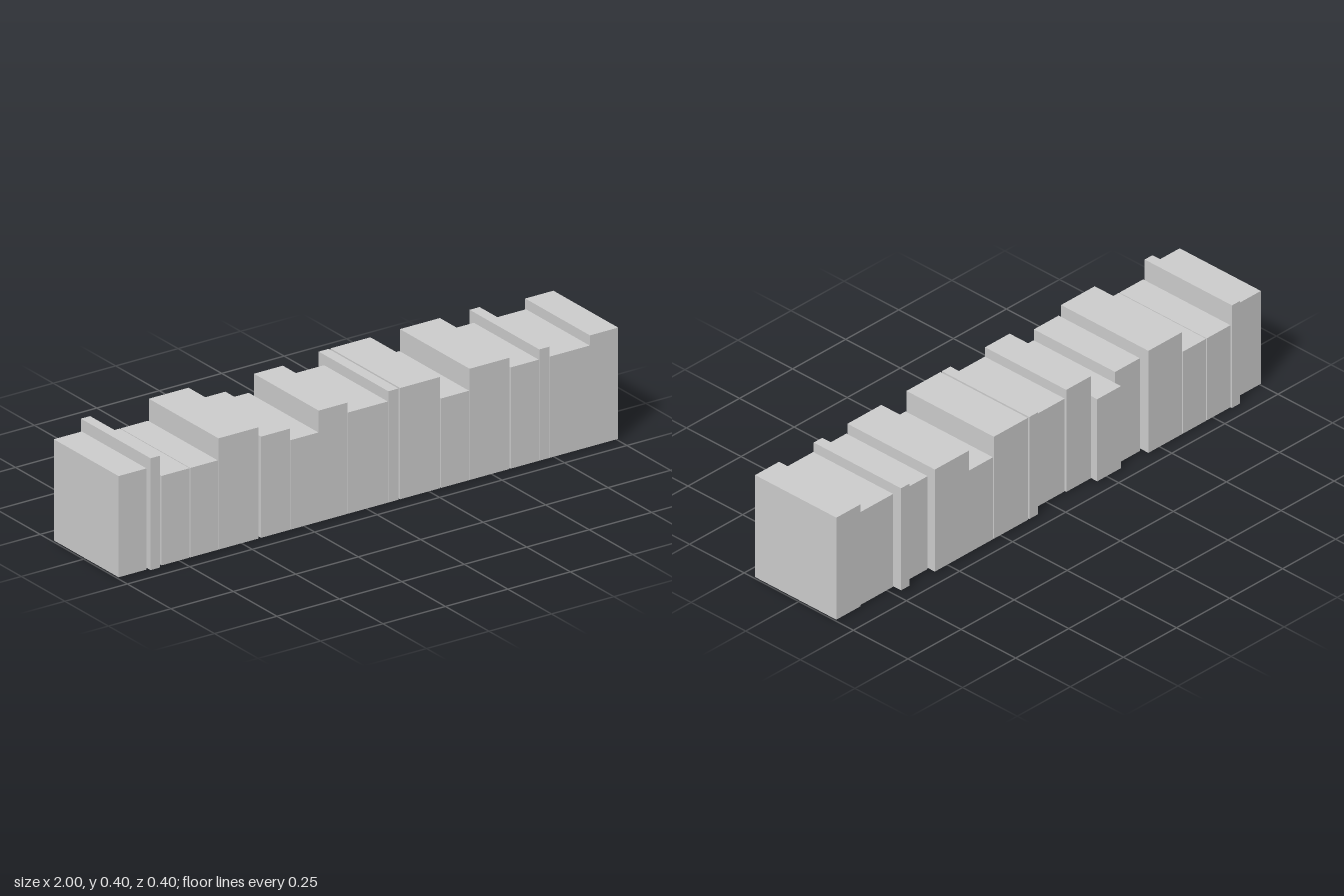
import * as THREE from 'three';

const FRONT = 0.2;   // all spines are flush at the front
const BASE = 0.006;  // resting height of most books

// [left edge, right edge, top, back, base]
const BOOKS = [
  [-1.0, -0.888, 0.368, -0.172],
  [-0.872, -0.835, 0.4, -0.2, 0],
  [-0.828, -0.716, 0.326, -0.2],
  [-0.713, -0.603, 0.326, -0.2],
  [-0.6, -0.441, 0.404, -0.2],
  [-0.43, -0.313, 0.368, -0.172],
  [-0.312, -0.2, 0.326, -0.2],
  [-0.199, -0.083, 0.404, -0.172],
  [-0.082, 0.078, 0.368, -0.166],
  [0.08, 0.12, 0.404, -0.2],
  [0.127, 0.287, 0.404, -0.2],
  [0.291, 0.403, 0.326, -0.2],
  [0.405, 0.565, 0.404, -0.2],
  [0.57, 0.682, 0.368, -0.172],
  [0.684, 0.724, 0.404, -0.2],
  [0.726, 0.886, 0.368, -0.166],
  [0.887, 1.0, 0.404, -0.172],
];

export function createModel() {
  const group = new THREE.Group();
  group.name = 'bookRow';
  const material = new THREE.MeshStandardMaterial({ color: 0xcccccc, flatShading: true });

  // Upright books side by side
  BOOKS.forEach(([x0, x1, top, back, base = BASE], i) => {
    const book = new THREE.Mesh(new THREE.BoxGeometry(x1 - x0, top - base, FRONT - back), material);
    book.name = `book${i + 1}`;
    book.position.set((x0 + x1) / 2, (top + base) / 2, (FRONT + back) / 2);
    group.add(book);
  });
  return group;
}
